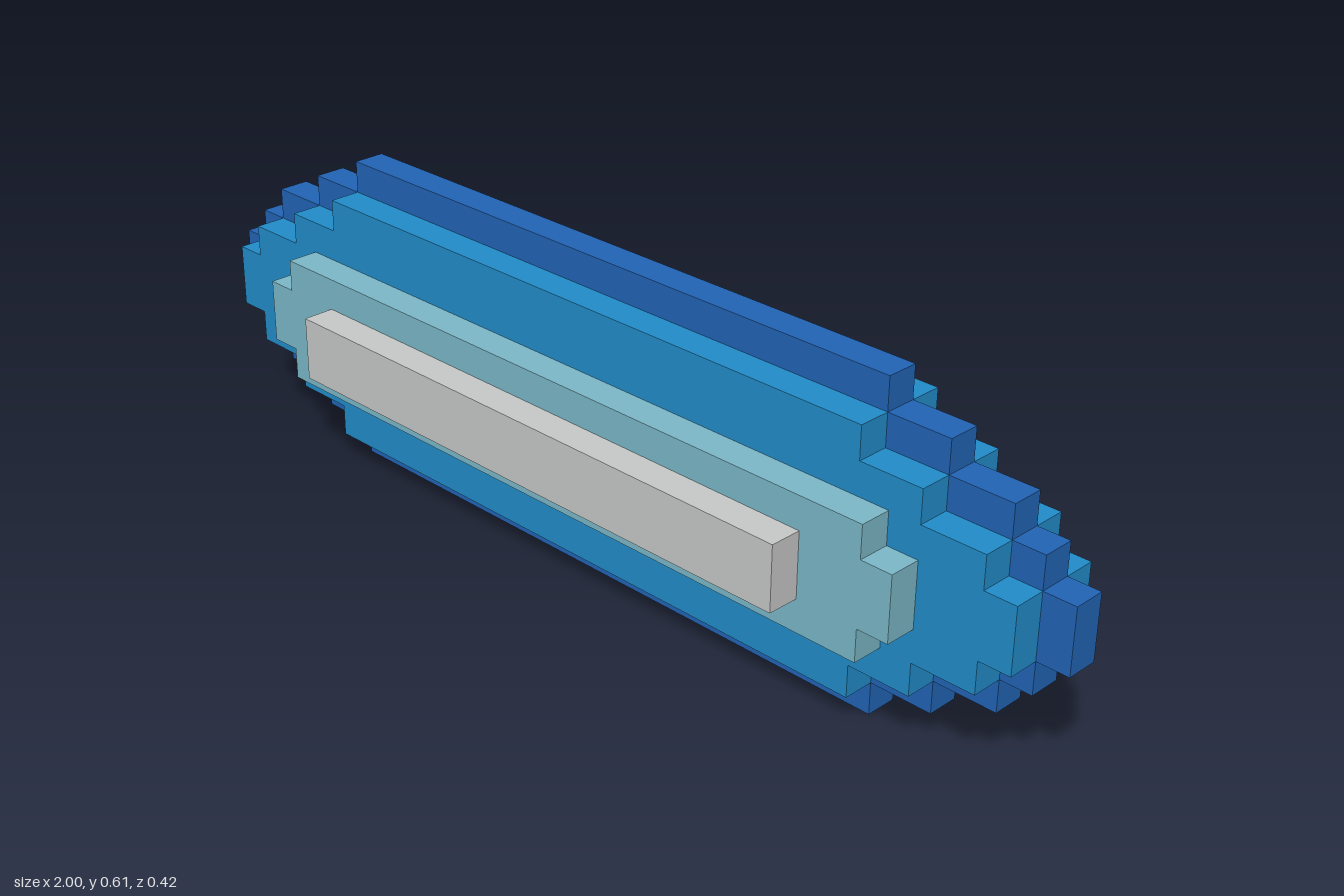
import * as THREE from 'three';

const U = 2 / 33; // edge of one block

// Stepped oval outline; steps are [half width, half height] in blocks, from the ends inward
function steppedShape(steps) {
  const quarter = [];
  steps.forEach(([w, h], i) => {
    quarter.push([w, i ? steps[i - 1][1] : 0], [w, h]);
  });
  if (quarter[0][1] === 0) quarter.shift();
  const back = [...quarter].reverse();
  const points = [
    ...quarter,
    ...back.map(([x, y]) => [-x, y]),
    ...quarter.map(([x, y]) => [-x, -y]),
    ...back.map(([x, y]) => [x, -y]),
  ];
  return new THREE.Shape(points.map(([x, y]) => new THREE.Vector2(x * U, y * U)));
}

function material(name, color) {
  const m = new THREE.MeshStandardMaterial({ color });
  m.name = name;
  return m;
}

export function createModel() {
  const group = new THREE.Group();
  group.name = 'steppedGem';

  // Layers from the thin wide rim to the thick narrow core
  const layers = [
    { name: 'outerRim', mat: material('deep blue', 0x2265b7), halfDepth: 0.5,
      steps: [[16.5, 1], [15.5, 2], [14.5, 3], [12.5, 4], [10.5, 5]] },
    { name: 'middleLayer', mat: material('bright blue', 0x228dcb), halfDepth: 1.5,
      steps: [[15.5, 1], [14.5, 2], [12.5, 3], [10.5, 4]] },
    { name: 'innerLayer', mat: material('pale teal', 0x7cb9c9), halfDepth: 2.5,
      steps: [[12.5, 1], [11.5, 2]] },
    { name: 'coreBar', mat: material('light grey', 0xc8c9c9), halfDepth: 3.5,
      steps: [[9.5, 1]] },
  ];

  for (const { name, mat, halfDepth, steps } of layers) {
    const depth = 2 * halfDepth * U;
    const geometry = new THREE.ExtrudeGeometry(steppedShape(steps), { depth, bevelEnabled: false });
    geometry.translate(0, 5 * U, -depth / 2);
    const mesh = new THREE.Mesh(geometry, mat);
    mesh.name = name;
    group.add(mesh);
  }
  return group;
}
